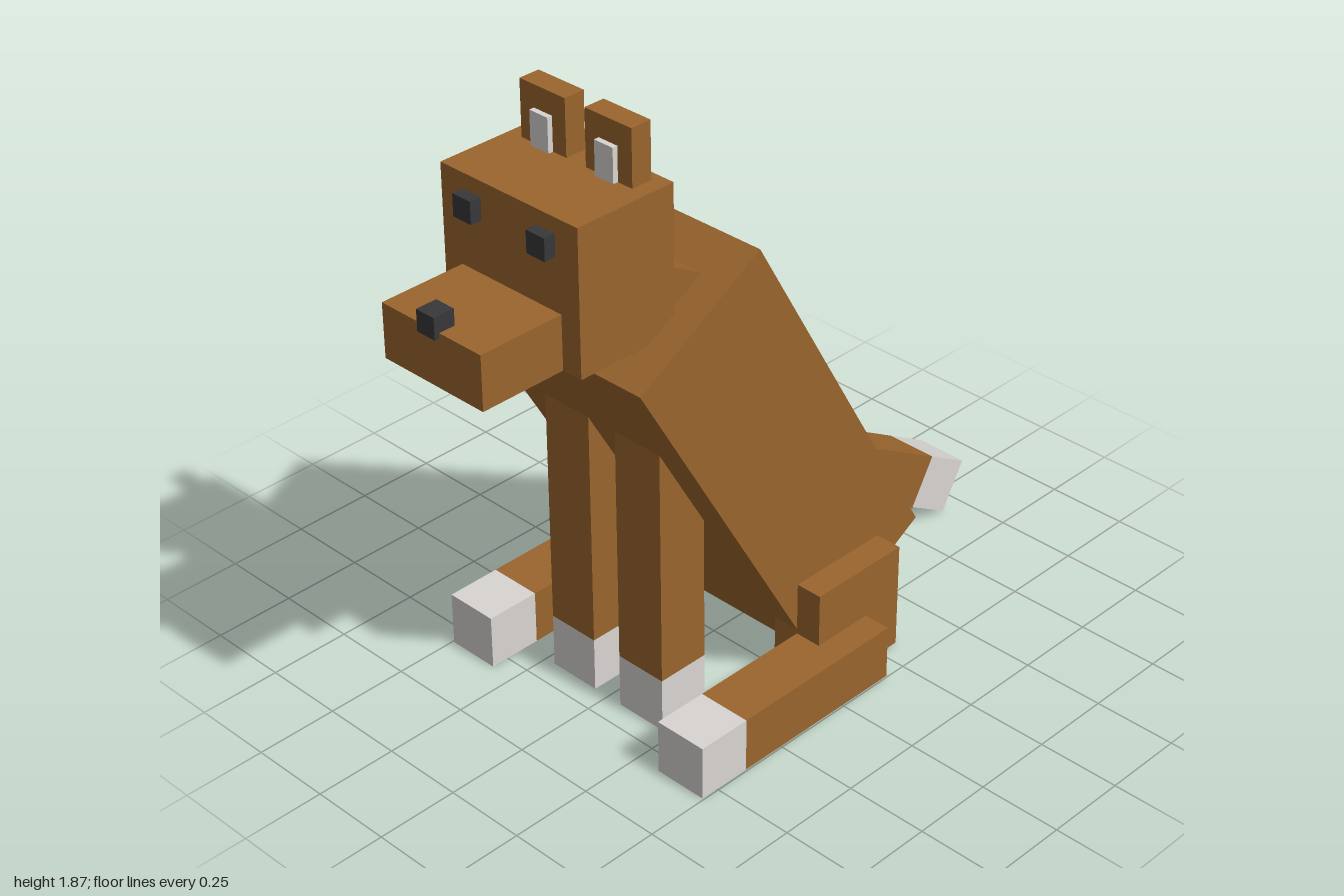
import * as THREE from 'three';

const material = (color) => new THREE.MeshStandardMaterial({ color, flatShading: true });

export function createModel() {
  const model = new THREE.Group();
  const fur = material(0x9a652d);
  const white = material(0xd8d5d2);
  const black = material(0x38383a);

  // Box from its size and centre, pitched about x
  function box(name, mat, size, centre, pitch = 0, parent = model) {
    const mesh = new THREE.Mesh(new THREE.BoxGeometry(...size), mat);
    mesh.name = name;
    mesh.position.set(...centre);
    mesh.rotation.x = THREE.MathUtils.degToRad(pitch);
    parent.add(mesh);
    return mesh;
  }

  // Upright box from its ranges along x, y and z
  function span(name, mat, x, y, z) {
    const ranges = [x, y, z];
    return box(name, mat, ranges.map(([a, b]) => b - a), ranges.map(([a, b]) => (a + b) / 2));
  }

  // The same box on the left (+x) and right (-x)
  function pair(name, mat, [a, b], y, z) {
    span('left' + name, mat, [a, b], y, z);
    span('right' + name, mat, [-b, -a], y, z);
  }

  // Leaning torso and neck
  box('body', fur, [0.66, 1.32, 0.495], [0, 0.76, 0.058], 30);
  box('neck', fur, [0.46, 0.238, 0.34], [0, 1.357, 0.46], -30);

  // Head and face
  span('head', fur, [-0.245, 0.245], [1.275, 1.7], [0.395, 0.72]);
  span('snout', fur, [-0.18, 0.18], [1.275, 1.435], [0.72, 0.985]);
  span('nose', black, [-0.032, 0.032], [1.42, 1.483], [0.935, 1]);
  pair('Eye', black, [0.1, 0.165], [1.59, 1.655], [0.69, 0.755]);
  pair('Ear', fur, [0.035, 0.198], [1.7, 1.865], [0.425, 0.49]);
  pair('InnerEar', white, [0.083, 0.148], [1.7, 1.8], [0.46, 0.506]);

  // Front legs with white paws
  pair('FrontLeg', fur, [0.05, 0.215], [0.168, 0.92], [0.26, 0.425]);
  pair('FrontPaw', white, [0.05, 0.215], [0, 0.168], [0.26, 0.425]);

  // Folded hind legs with white paws
  pair('Thigh', fur, [0.247, 0.412], [0, 0.333], [-0.32, 0.01]);
  pair('HindFoot', fur, [0.33, 0.495], [0, 0.167], [-0.185, 0.387]);
  pair('HindPaw', white, [0.33, 0.495], [0, 0.167], [0.387, 0.555]);

  // Tail sloping down and back to a white tip
  const tail = new THREE.Group();
  tail.name = 'tail';
  tail.position.set(0, 0.077, -0.957);
  tail.rotation.x = -Math.PI / 6;
  model.add(tail);
  box('tailTip', white, [0.165, 0.165, 0.167], [0, 0, 0.0835], 0, tail);
  box('tailBase', fur, [0.165, 0.165, 0.583], [0, 0, 0.4585], 0, tail);

  return model;
}
